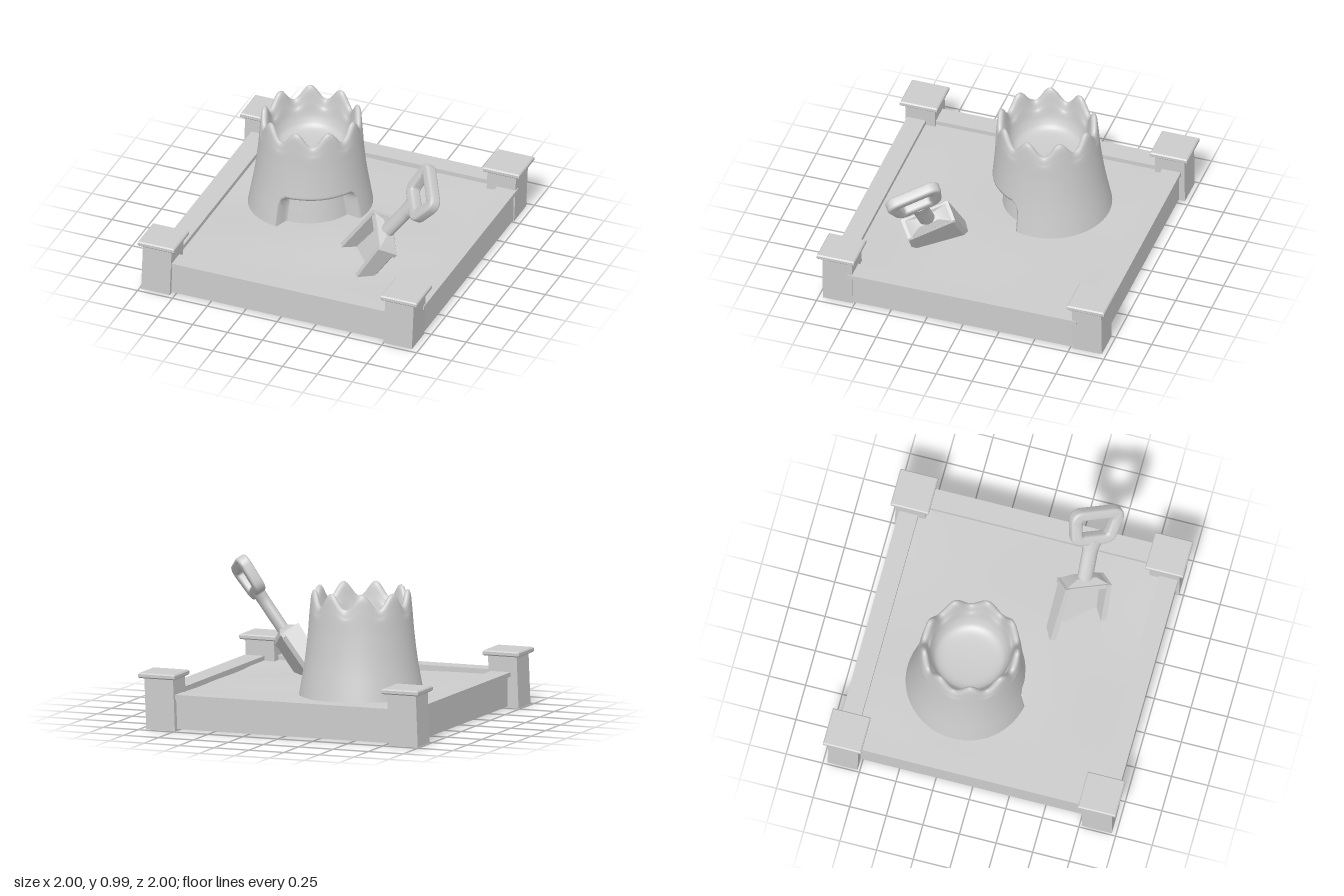
import * as THREE from 'three';
import { mergeVertices, toCreasedNormals } from 'three/addons/utils/BufferGeometryUtils.js';

const material = new THREE.MeshStandardMaterial({ color: 0xcccccc });
const smooth = THREE.MathUtils.smoothstep;

function add(parent, name, geometry, x = 0, y = 0, z = 0) {
  const mesh = new THREE.Mesh(geometry, material);
  mesh.name = name;
  mesh.position.set(x, y, z);
  parent.add(mesh);
  return mesh;
}

// Apply a rule to every vertex
function reshape(geometry, rule) {
  const p = geometry.attributes.position;
  const v = new THREE.Vector3();
  for (let i = 0; i < p.count; i++) {
    v.fromBufferAttribute(p, i);
    rule(v);
    p.setXYZ(i, v.x, v.y, v.z);
  }
  geometry.computeVertexNormals();
  return geometry;
}

// Square slab with small chamfers on its top and bottom edges
function capGeometry(size, height) {
  const b = 0.008, h = size / 2 - b;
  const s = new THREE.Shape([[-h, -h], [h, -h], [h, h], [-h, h]].map(p => new THREE.Vector2(...p)));
  return new THREE.ExtrudeGeometry(s, {
    depth: height - 2 * b, bevelSize: b, bevelThickness: b, bevelSegments: 1,
  }).translate(0, 0, b).rotateX(-Math.PI / 2);
}

function buildFrame() {
  const frame = new THREE.Group();
  frame.name = 'frame';
  // Corner posts leaning a touch to one side, with caps
  for (const sx of [-1, 1]) for (const sz of [-1, 1]) {
    const post = reshape(new THREE.BoxGeometry(0.205, 0.35, 0.205), v => { v.x += v.y * 0.04; });
    add(frame, 'cornerPost', post, sx * 0.868 - 0.01, 0.175, sz * 0.868);
    add(frame, 'postCap', capGeometry(0.26, 0.035), sx * 0.87, 0.345, sz * 0.87);
  }
  // Walls with an overhanging plank on top
  for (const x of [-0.86, 0.9]) {
    add(frame, 'sideWall', new THREE.BoxGeometry(0.1, 0.2, 1.64), x, 0.11, 0);
    add(frame, 'sidePlank', new THREE.BoxGeometry(0.14, 0.03, 1.6), x, 0.225, 0);
  }
  for (const z of [-0.88, 0.895]) {
    add(frame, 'endWall', new THREE.BoxGeometry(1.66, 0.2, 0.1), 0, 0.11, z);
    add(frame, 'endPlank', new THREE.BoxGeometry(1.6, 0.03, 0.13), 0, 0.225, z);
  }
  add(frame, 'floor', new THREE.BoxGeometry(1.78, 0.02, 1.78), 0.02, 0.02, 0);
  return frame;
}

// Gently rolling sand surface
function sandGeometry() {
  const g = new THREE.PlaneGeometry(1.7, 1.7, 40, 40).rotateX(-Math.PI / 2);
  return reshape(g, v => {
    v.y = 0.2 + 0.008 * Math.sin(4 * v.x + 1) * Math.cos(3.5 * v.z) + 0.004 * Math.sin(7 * v.z + 2 * v.x);
  });
}

// Bucket-shaped tower: scalloped rim, hollow top and a recessed doorway
function castleGeometry() {
  const profile = new THREE.SplineCurve([
    [0.418, 0.17], [0.404, 0.25], [0.372, 0.44], [0.35, 0.63], [0.338, 0.8], [0.33, 0.88],
    [0.312, 0.905], [0.292, 0.88], [0.275, 0.79], [0.25, 0.68], [0.19, 0.62], [0, 0.605],
  ].map(p => new THREE.Vector2(...p)));
  const points = profile.getSpacedPoints(90);
  points[points.length - 1].x = 0;
  let g = new THREE.LatheGeometry(points, 240);
  g.deleteAttribute('uv');
  g.deleteAttribute('normal');
  g = mergeVertices(g, 1e-5);
  return reshape(g, v => {
    const a = Math.atan2(v.x, v.z);
    // Doorway
    const q = Math.pow(Math.abs(a - 0.567) / 0.73, 8) + Math.pow(Math.max(0, v.y - 0.15) / 0.265, 8);
    const depth = 0.1 * (1 - smooth(q, 0.8, 1.2));
    const r = Math.hypot(v.x, v.z);
    if (r > 0.33 && v.y < 0.6) {
      v.x *= (r - depth) / r;
      v.z *= (r - depth) / r;
    }
    // Scallops
    const dip = 0.5 + 0.5 * Math.cos(9 * (a - 0.42));
    v.y -= 0.1 * dip * smooth(v.y, 0.7, 0.89);
    // Slight lean
    v.x += 0.017 * (v.y - 0.2);
    v.z += 0.025 * (v.y - 0.2);
  });
}

// Closed rounded loop with corners at half-widths top and bottom
function roundedLoop(path, top, bottom, h, r) {
  path.moveTo(0, -h);
  path.lineTo(bottom - r, -h);
  path.quadraticCurveTo(bottom, -h, bottom + r * 0.15, -h + r);
  path.lineTo(top, h - r);
  path.quadraticCurveTo(top, h, top - r, h);
  path.lineTo(-top + r, h);
  path.quadraticCurveTo(-top, h, -top, h - r);
  path.lineTo(-bottom - r * 0.15, -h + r);
  path.quadraticCurveTo(-bottom, -h, -bottom + r, -h);
  path.lineTo(0, -h);
  return path;
}

// Spade: x across, y along the handle, z out of the open side of the scoop
function buildSpade() {
  const spade = new THREE.Group();
  spade.name = 'spade';

  // Ring grip
  const ring = roundedLoop(new THREE.Shape(), 0.172, 0.14, 0.12, 0.06);
  ring.holes.push(roundedLoop(new THREE.Path(), 0.128, 0.105, 0.082, 0.035));
  const grip = new THREE.ExtrudeGeometry(ring, {
    depth: 0.04, bevelSize: 0.018, bevelThickness: 0.018, bevelSegments: 4, curveSegments: 8,
  }).translate(0, 0, -0.02);
  add(spade, 'grip', toCreasedNormals(grip, 0.7));

  // Flattened shaft, flaring into the grip
  const shaft = reshape(new THREE.CylinderGeometry(0.055, 0.055, 0.38, 16, 12), v => {
    const flare = 1 + 0.5 * smooth(v.y, 0.1, 0.19);
    v.x *= flare;
    v.z *= 0.75;
  });
  add(spade, 'shaft', toCreasedNormals(shaft, 0.7), 0, -0.3, 0);

  // Sloped shoulder between shaft and scoop
  const shoulder = new THREE.CylinderGeometry(0.085, 0.2, 0.05, 4).rotateY(Math.PI / 4);
  shoulder.scale(1.18, 1, 0.52).translate(0, 0, -0.005);
  add(spade, 'shoulder', toCreasedNormals(shoulder, 0.5), 0, -0.435, 0);

  // Scoop with a back panel and two side flanges, widening toward the tip
  const w = 0.168, t = 0.035;
  const section = new THREE.Shape([
    [-w, 0.075], [-w, -0.045], [-w + 0.025, -0.07], [w - 0.025, -0.07], [w, -0.045],
    [w, 0.075], [w - t, 0.075], [w - t, -0.035], [-w + t, -0.035], [-w + t, 0.075],
  ].map(p => new THREE.Vector2(...p)));
  const scoop = new THREE.ExtrudeGeometry(section, { depth: 0.42, steps: 4, bevelEnabled: false });
  scoop.rotateX(Math.PI / 2).scale(1, 1, 1);
  // Extrusion now runs down -y, with the section's open side toward +z
  reshape(scoop, v => {
    v.x *= 1 - 0.4 * v.y;
    v.z -= v.z > 0 ? -0.07 * v.y : 0;
  });
  add(spade, 'scoop', toCreasedNormals(scoop, 0.5), 0, -0.45, 0);
  add(spade, 'scoopTop', new THREE.BoxGeometry(0.335, 0.03, 0.14), 0, -0.464, 0);

  // Plant it in the sand at a tilt
  const along = new THREE.Vector3(0.6, 0.8, 0);
  const out = new THREE.Vector3(-0.656, 0.492, 0.58).normalize();
  const across = new THREE.Vector3().crossVectors(along, out);
  spade.quaternion.setFromRotationMatrix(new THREE.Matrix4().makeBasis(across, along, out));
  spade.position.set(0.785, 0.825, 0.385);
  return spade;
}

export function createModel() {
  const model = new THREE.Group();
  model.name = 'sandbox';
  model.add(buildFrame());
  add(model, 'sand', sandGeometry(), 0.02, 0, 0);
  add(model, 'sandCastle', castleGeometry(), -0.267, 0, -0.203);
  model.add(buildSpade());
  return model;
}
